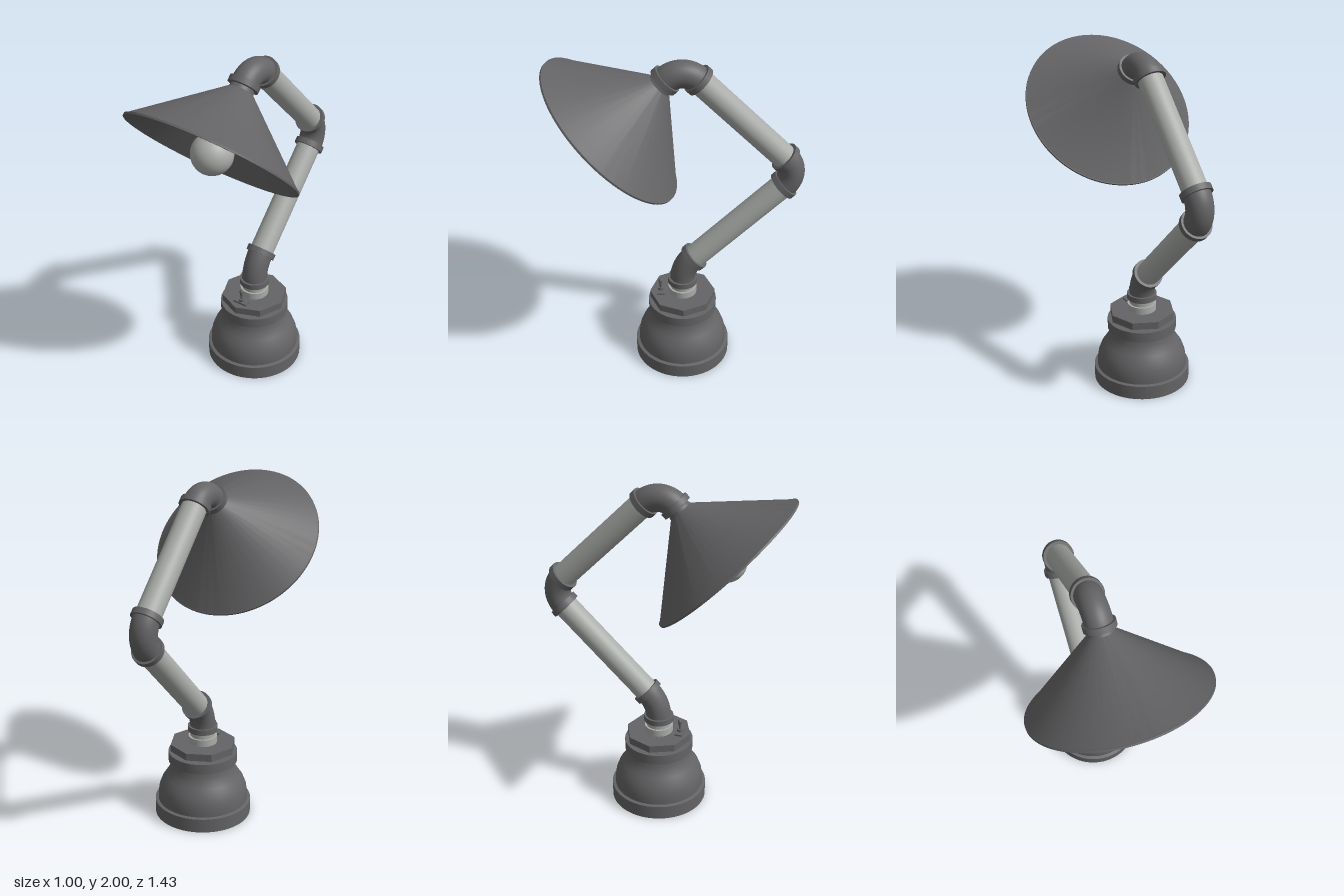
import * as THREE from 'three';
import { toCreasedNormals } from 'three/addons/utils/BufferGeometryUtils.js';

export function createModel() {
  const model = new THREE.Group();
  const iron = new THREE.MeshStandardMaterial({ color: 0x646466, side: THREE.DoubleSide });
  iron.name = 'dark iron';
  const steel = new THREE.MeshStandardMaterial({ color: 0xaaadaa });
  steel.name = 'pale steel';

  const UP = new THREE.Vector3(0, 1, 0);
  const at = (y, z) => new THREE.Vector3(0, y, z);
  const add = (name, geometry, material, parent = model) => {
    const mesh = new THREE.Mesh(geometry, material);
    mesh.name = name;
    parent.add(mesh);
    return mesh;
  };
  // Cylinder between two points
  const rod = (name, a, b, radius, material) => {
    const dir = b.clone().sub(a);
    const mesh = add(name, new THREE.CylinderGeometry(radius, radius, dir.length(), 40), material);
    mesh.position.copy(a).lerp(b, 0.5);
    mesh.quaternion.setFromUnitVectors(UP, dir.normalize());
    return mesh;
  };
  // Turned part from [radius, height] pairs
  const turned = (pairs, segments = 64) => toCreasedNormals(
    new THREE.LatheGeometry(pairs.map(([r, y]) => new THREE.Vector2(r, y)), segments), 0.6);

  const baseZ = -0.021;

  // Bell-shaped base with foot and collar
  add('base', turned([
    [0, 0], [0.287, 0], [0.287, 0.085], [0.268, 0.089], [0.268, 0.12], [0.262, 0.165],
    [0.245, 0.21], [0.222, 0.245], [0.203, 0.275], [0.192, 0.305], [0.188, 0.335],
    [0.205, 0.337], [0.205, 0.398], [0, 0.398],
  ]), iron).position.z = baseZ;
  rod('nutNeck', at(0.39, baseZ), at(0.42, baseZ), 0.1, iron);

  // Octagonal nut, one corner on each side
  const nut = add('octagonNut', new THREE.CylinderGeometry(0.197, 0.197, 0.044, 8).toNonIndexed(), iron);
  nut.geometry.computeVertexNormals();
  nut.position.set(0, 0.433, baseZ);

  // Stub pipe and its couplings
  rod('stubPipe', at(0.45, baseZ), at(0.56, baseZ), 0.073, steel);
  rod('stubCoupling', at(0.455, baseZ), at(0.497, baseZ), 0.085, steel);

  // Toggle switch on the nut
  const toggle = new THREE.Group();
  toggle.name = 'toggleSwitch';
  toggle.position.set(0, 0.455, 0.112);
  model.add(toggle);
  add('switchPlate', new THREE.BoxGeometry(0.09, 0.012, 0.045), iron, toggle).position.y = 0.005;
  add('switchCollar', new THREE.CylinderGeometry(0.017, 0.017, 0.018, 20), iron, toggle).position.y = 0.018;
  add('switchLever', turned([
    [0, 0.01], [0.006, 0.01], [0.007, 0.045], [0.012, 0.07], [0.012, 0.082], [0.007, 0.09], [0, 0.092],
  ], 20), iron, toggle);

  // Pipe elbows: corner point, directions in and out, tangent length, curve handle
  const d = Math.SQRT1_2;
  const back = at(d, -d), forward = at(d, d), down = at(-d, d);
  const joints = [
    { name: 'lowerElbow', corner: at(0.642, baseZ), from: UP, to: back, t: 0.095, k: 0.64 },
    { name: 'middleElbow', corner: at(1.306, -0.682), from: back, to: forward, t: 0.125, k: 0.552 },
    { name: 'upperElbow', corner: at(1.977, -0.013), from: forward, to: down, t: 0.125, k: 0.552 },
  ];
  for (const j of joints) {
    const p = (dir, s) => j.corner.clone().addScaledVector(dir, s);
    const curve = new THREE.CubicBezierCurve3(
      p(j.from, -j.t), p(j.from, -j.t * (1 - j.k)), p(j.to, j.t * (1 - j.k)), p(j.to, j.t));
    add(j.name, new THREE.TubeGeometry(curve, 20, 0.075, 40), iron);
    rod(j.name + 'RingIn', p(j.from, -j.t - 0.018), p(j.from, -j.t + 0.016), 0.088, iron);
    rod(j.name + 'RingOut', p(j.to, j.t - 0.016), p(j.to, j.t + 0.018), 0.088, iron);
    j.start = p(j.from, -j.t);
    j.end = p(j.to, j.t);
  }
  rod('lowerArm', joints[0].end, joints[1].start, 0.071, steel);
  rod('upperArm', joints[1].end, joints[2].start, 0.071, steel);

  // Lamp head, built along its axis from the upper elbow corner
  const head = new THREE.Group();
  head.name = 'lampHead';
  head.position.copy(joints[2].corner);
  head.quaternion.setFromUnitVectors(UP, down);
  model.add(head);
  add('shade', turned([
    [0.066, 0.145], [0.07, 0.165], [0.492, 0.533], [0.5, 0.536], [0.5, 0.547],
    [0.49, 0.547], [0.062, 0.172], [0, 0.172],
  ], 96), iron, head);
  add('bulbSocket', turned([
    [0, 0.15], [0.062, 0.15], [0.062, 0.215], [0.066, 0.22], [0.066, 0.25], [0.05, 0.262], [0, 0.262],
  ], 40), iron, head);

  // Pear-shaped bulb: neck flowing into a sphere
  const bulb = [[0.044, 0.25], [0.045, 0.285], [0.056, 0.335], [0.074, 0.39], [0.094, 0.45]];
  for (let i = 0; i <= 14; i++) {
    const a = -0.4 + (i / 14) * (Math.PI / 2 + 0.4);
    bulb.push([Math.max(0, 0.116 * Math.cos(a)), 0.53 + 0.116 * Math.sin(a)]);
  }
  add('bulb', turned(bulb, 48), steel, head);

  return model;
}
